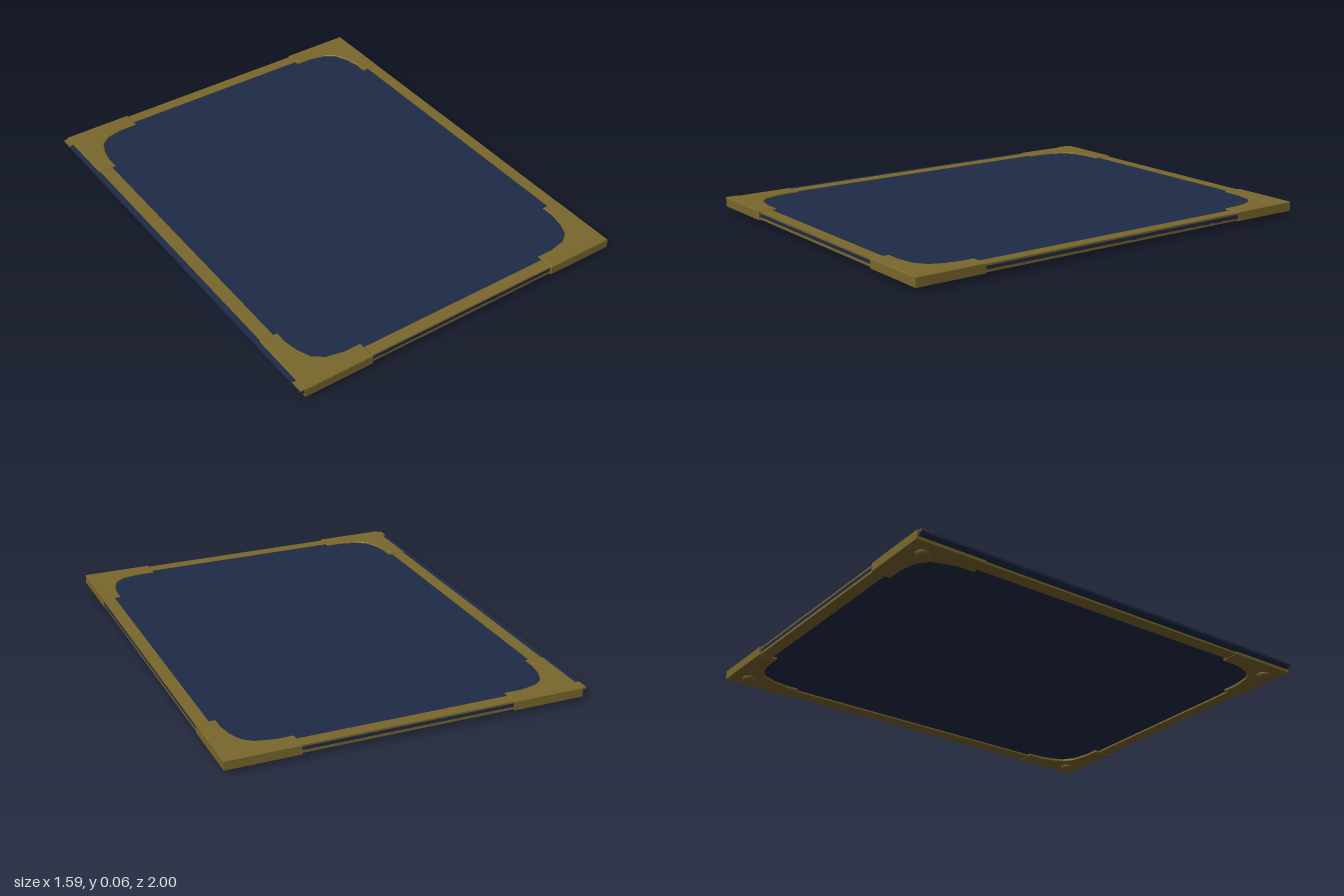
import * as THREE from 'three';

export function createModel() {
  const model = new THREE.Group();
  const gold = new THREE.MeshStandardMaterial({ color: 0x7a672c });
  const blue = new THREE.MeshStandardMaterial({ color: 0x1e2a47 });
  const CX = 0.005; // the metal fittings sit slightly off the panel's centre

  const add = (name, geometry, material) => {
    const mesh = new THREE.Mesh(geometry, material);
    mesh.name = name;
    model.add(mesh);
    return mesh;
  };
  const bar = (name, x0, x1, y0, y1, z0, z1) =>
    add(name, new THREE.BoxGeometry(x1 - x0, y1 - y0, z1 - z0), gold)
      .position.set((x0 + x1) / 2, (y0 + y1) / 2, (z0 + z1) / 2);

  // Panel with a rounded lower left edge, extruded along z
  const section = new THREE.Shape([
    [-0.77, 0.031], [0.787, 0.031], [0.787, 0.056], [-0.8, 0.056], [-0.8, 0.046], [-0.79, 0.037],
  ].map(([x, y]) => new THREE.Vector2(x, y)));
  const panel = new THREE.ExtrudeGeometry(section, { depth: 1.98, bevelEnabled: false });
  panel.translate(0, 0, -0.99);
  add('panel', panel, blue);

  // Thin rails on top, thicker rails underneath
  bar('topLeftEdgeRail', 0.735, 0.79, 0.05, 0.058, -0.68, 0.68);
  bar('topRightEdgeRail', -0.775, -0.715, 0.05, 0.058, -0.68, 0.68);
  bar('bottomLeftEdgeRail', 0.725, 0.787, 0.023, 0.034, -0.68, 0.68);
  bar('bottomRightEdgeRail', -0.775, -0.715, 0.023, 0.034, -0.68, 0.68);
  for (const [side, s] of [['front', 1], ['back', -1]]) {
    const z0 = Math.min(s * 0.935, s * 0.991), z1 = Math.max(s * 0.935, s * 0.991);
    bar(side + 'TopRail', -0.8, 0.787, 0.05, 0.058, z0, z1);
    bar(side + 'BottomRail', -0.77, 0.787, 0.023, 0.034, z0, z1);
  }

  // L-shaped corner guards with a curved inner edge, plus domed feet
  const inner = [[0.465, 0.912], [0.54, 0.912], [0.62, 0.895], [0.665, 0.86],
    [0.69, 0.8], [0.702, 0.735], [0.702, 0.675]];
  const bevel = 0.003;
  for (const sx of [1, -1]) for (const sz of [1, -1]) {
    const label = (sz > 0 ? 'front' : 'back') + (sx > 0 ? 'Left' : 'Right');
    const outline = [...inner, [0.785, 0.675], [0.785, 0.998], [0.465, 0.998]]
      .map(([x, z]) => new THREE.Vector2(CX + sx * x, -sz * z));
    const guard = new THREE.ExtrudeGeometry(new THREE.Shape(outline), {
      depth: 0.044 - 2 * bevel, bevelEnabled: true, bevelSegments: 1,
      bevelSize: bevel, bevelThickness: bevel, bevelOffset: -bevel,
    });
    guard.rotateX(-Math.PI / 2).translate(0, 0.018 + bevel, 0);
    add(label + 'CornerGuard', guard, gold);

    const foot = new THREE.LatheGeometry(
      [[0, 0.002], [0.012, 0.002], [0.024, 0.006], [0.031, 0.012], [0.031, 0.02]]
        .map(([r, y]) => new THREE.Vector2(r, y - 0.002)), 20);
    add(label + 'Foot', foot, gold).position.set(CX + sx * 0.707, 0, sz * 0.92);
  }

  return model;
}
